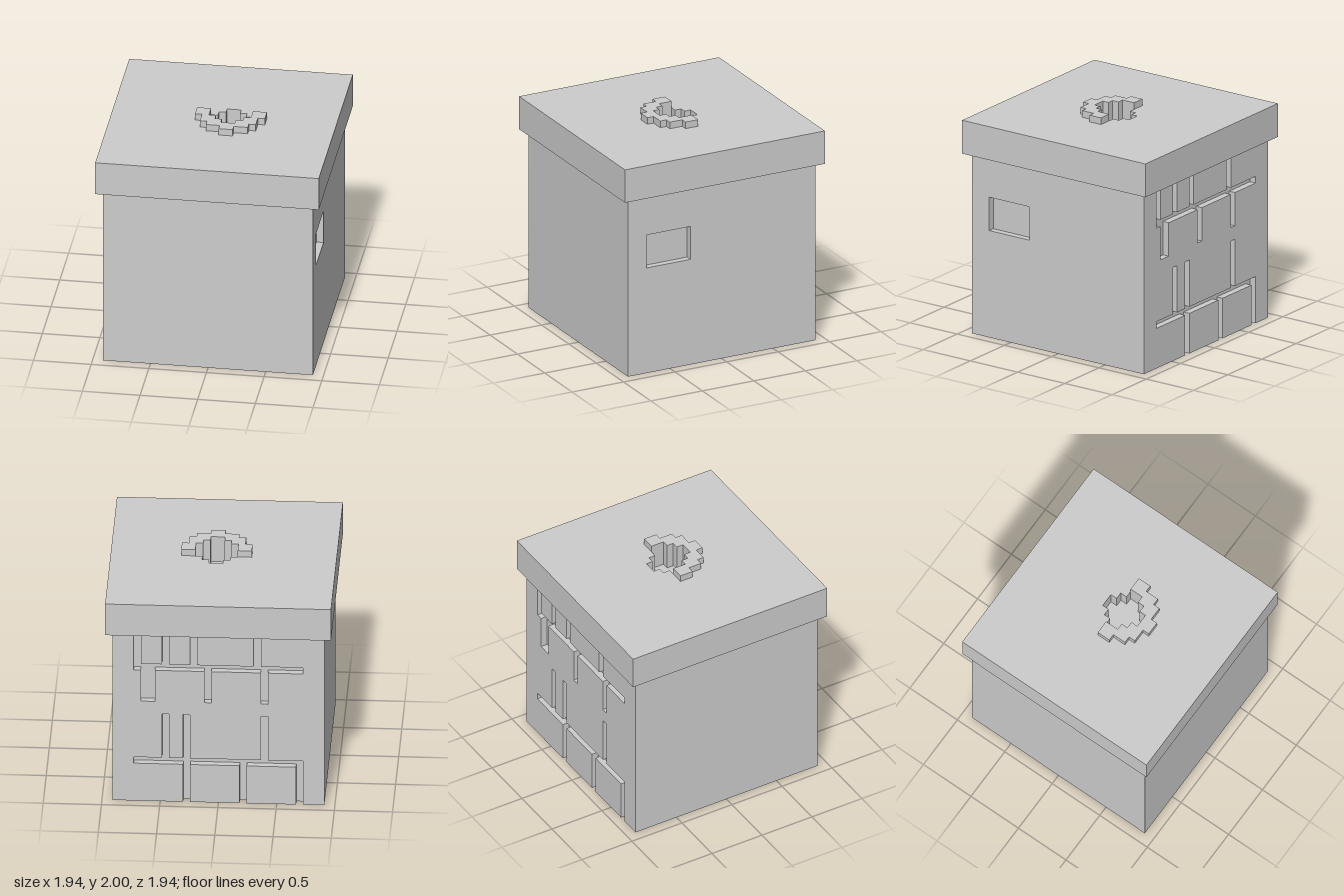
import * as THREE from 'three';

const U = 2 / 33; // one block of the grid everything is built on
const inside = (i, j, [i0, i1, j0, j1]) => i >= i0 && i < i1 && j >= j0 && j < j1;

// Stepped relief in the XY plane facing +z: one flat cell per block, with walls
// wherever the height changes. Walls that would face -y can be left open.
function relief(nx, ny, height, openTops = false) {
  const pos = [];
  const quad = (a, b, c, d) => pos.push(...[a, b, c, a, c, d].flat().map((v) => v * U));
  for (let i = 0; i < nx; i++) {
    for (let j = 0; j < ny; j++) {
      const h = height(i, j);
      quad([i, j, h], [i + 1, j, h], [i + 1, j + 1, h], [i, j + 1, h]);
      if (i + 1 < nx) {
        const r = height(i + 1, j), x = i + 1;
        if (r !== h) quad([x, j, h], [x, j, r], [x, j + 1, r], [x, j + 1, h]);
      }
      if (j + 1 < ny) {
        const t = height(i, j + 1), y = j + 1;
        if (t > h && openTops) continue;
        if (t !== h) quad([i, y, h], [i + 1, y, h], [i + 1, y, t], [i, y, t]);
      }
    }
  }
  const g = new THREE.BufferGeometry();
  g.setAttribute('position', new THREE.Float32BufferAttribute(pos, 3));
  g.translate((-nx / 2) * U, (-ny / 2) * U, 0);
  g.computeVertexNormals();
  return g;
}

// Grooves between the bricks of the back: [from, to, bottom, top] in blocks
const GROOVES = [
  [3, 27, 21, 22], [3, 27, 6, 7],
  ...[3, 7, 11, 20].map((a) => [a, a + 1, 22, 27]),
  [4, 6, 16, 21], [13, 14, 16, 21], [21, 22, 16, 21],
  ...[7, 10, 21].map((a) => [a, a + 1, 7, 14]),
  ...[10, 18, 26].map((a) => [a, a + 1, 0, 6]),
];
const WINDOW = [3, 10, 16, 21];

// Round pit in the lid, and the crescent rim in front of it: [x0, x1, z0, z1]
const PIT = [[0, 2, -3, 3], [-1, 3, -2, 2], [-2, 4, -1, 1]];
const RIM = [[-4, 6, -1, 1], [-3, 5, 1, 3], [-2, 4, 3, 4], [0, 2, 4, 5]];

export function createModel() {
  const model = new THREE.Group();
  const grey = new THREE.MeshStandardMaterial({ color: 0xcccccc, side: THREE.DoubleSide });
  grey.name = 'grey';

  function add(name, geometry, x, y, z, turn = 0, parent = model) {
    const mesh = new THREE.Mesh(geometry, grey);
    mesh.name = name;
    mesh.position.set(x * U, y * U, z * U);
    mesh.rotation.y = turn;
    parent.add(mesh);
    return mesh;
  }

  // Body: four thin walls, open below
  const body = new THREE.Group();
  body.name = 'body';
  model.add(body);
  const wall = new THREE.PlaneGeometry(30 * U, 27 * U);
  add('frontWall', wall, 0, 13.5, 15, 0, body);
  add('plainSideWall', wall, -15, 13.5, 0, -Math.PI / 2, body);
  add('windowWall', relief(30, 27, (i, j) => (inside(i, j, WINDOW) ? -1 : 0), true),
    15, 13.5, 0, Math.PI / 2, body);
  add('brickBackWall', relief(30, 27, (i, j) => (GROOVES.some((g) => inside(i, j, g)) ? -1 : 0), true),
    0, 13.5, -15, Math.PI, body);

  // Lid: four overhanging sides and a top with the pit and its raised rim
  const lid = new THREE.Group();
  lid.name = 'lid';
  model.add(lid);
  const lidSide = new THREE.PlaneGeometry(32 * U, 5 * U);
  for (let k = 0; k < 4; k++) {
    const a = (k * Math.PI) / 2;
    add('lidSide', lidSide, 16 * Math.sin(a), 29.5, 16 * Math.cos(a), a, lid);
  }
  const lidHeight = (i, j) => {
    const x = i - 16, z = 15 - j;
    if (PIT.some((r) => inside(x, z, r))) return -3;
    return RIM.some((r) => inside(x, z, r)) ? 1 : 0;
  };
  add('lidTop', relief(32, 32, lidHeight).rotateX(-Math.PI / 2), 0, 32, 0, 0, lid);

  return model;
}
